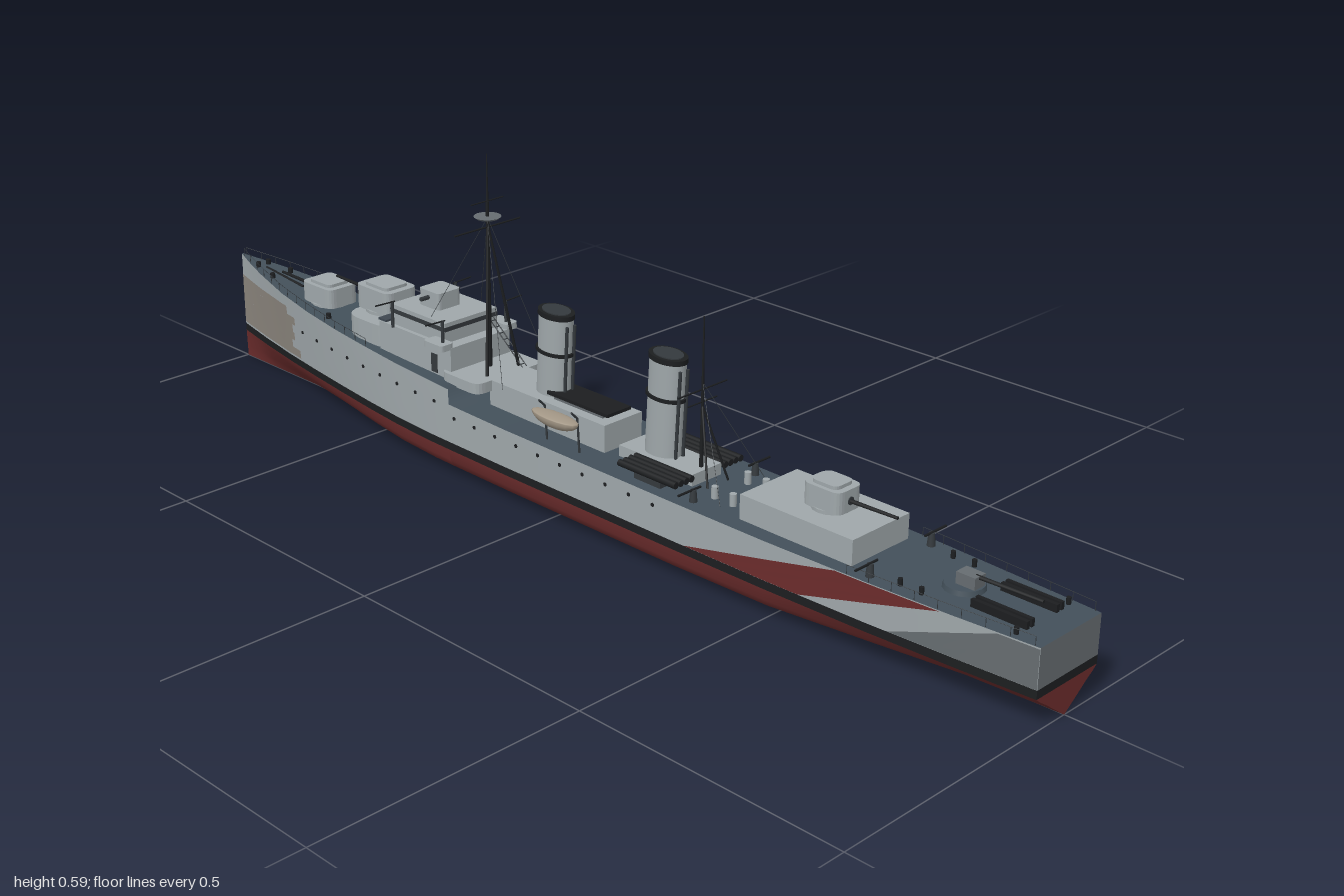
import * as THREE from 'three';

const mat = (name, color) => Object.assign(new THREE.MeshStandardMaterial({ color }), { name });
const M = {
  light: mat('light grey', 0x9fa7aa), mid: mat('mid grey', 0x666c70), deck: mat('deck slate', 0x43505a),
  blue: mat('dark blue grey', 0x3e4750), red: mat('hull red', 0x6b2c2c), black: mat('black', 0x1c1e20),
  taupe: mat('taupe', 0x8b857d), tan: mat('boat tan', 0xa39786), dark: mat('dark grey', 0x34393d),
};

// Hull stations: z, half beam, deck height
const ST = [[-1, .002, .22], [-.95, .017, .214], [-.9, .031, .209], [-.8, .053, .199], [-.7, .068, .191], [-.6, .079, .185],
  [-.5, .088, .181], [-.4, .095, .177], [-.3, .099, .174], [-.251, .1, .172], [-.25, .1, .143], [-.1, .102, .141], [.3, .102, .139],
  [.5, .1, .138], [.7, .094, .138], [.85, .086, .138], [1, .076, .139]];
const lerp = THREE.MathUtils.lerp;
function station(z, k) {
  let i = 0;
  while (i < ST.length - 2 && z > ST[i + 1][0]) i++;
  const a = ST[i], b = ST[i + 1];
  return lerp(a[k], b[k], THREE.MathUtils.clamp((z - a[0]) / (b[0] - a[0]), 0, 1));
}
const deckY = z => station(z, 2);
const vee = z => z < 0 ? THREE.MathUtils.smoothstep(-z, .3, 1) : THREE.MathUtils.smoothstep(z, .4, 1);
const WL = .055;
function beam(z, y) {
  const flare = z < 0 ? .3 * vee(z) : 0;
  return station(z, 1) * lerp(1 - flare, 1, Math.min(1, (y - WL) / (deckY(z) - WL)));
}
// Underwater section: blend of a full midship curve and a vee
const FULL = [[0, 0], [.7, .008], [.9, .02], [.98, .034], [1, WL]];
const VEE = [[0, 0], [.4, .022], [.65, .036], [.87, .047], [1, WL]];

// Grid surface: rows along u (z), columns along v
function surf(us, vs, f, flip) {
  const pos = [], idx = [], n = vs.length;
  us.forEach(u => vs.forEach(v => pos.push(...f(u, v))));
  for (let i = 0; i < us.length - 1; i++) for (let j = 0; j < n - 1; j++) {
    const a = i * n + j, b = a + 1, c = a + n, d = c + 1;
    idx.push(...(flip ? [a, c, b, b, c, d] : [a, b, c, b, d, c]));
  }
  const g = new THREE.BufferGeometry();
  g.setAttribute('position', new THREE.Float32BufferAttribute(pos, 3));
  g.setIndex(idx);
  g.computeVertexNormals();
  return g;
}
const range = n => Array.from({ length: n + 1 }, (_, i) => i / n);

// Block with rounded plan, standing on its origin
function slab(w, l, h, r) {
  const s = new THREE.Shape(), a = w / 2, b = l / 2;
  s.moveTo(-a + r, -b).lineTo(a - r, -b).quadraticCurveTo(a, -b, a, -b + r).lineTo(a, b - r).quadraticCurveTo(a, b, a - r, b);
  s.lineTo(-a + r, b).quadraticCurveTo(-a, b, -a, b - r).lineTo(-a, -b + r).quadraticCurveTo(-a, -b, -a + r, -b);
  return new THREE.ExtrudeGeometry(s, { depth: h, bevelEnabled: false, curveSegments: 5 }).rotateX(-Math.PI / 2);
}

export function createModel() {
  const ship = new THREE.Group();
  ship.name = 'warship';
  const add = (name, geo, m, x = 0, y = 0, z = 0) => {
    const mesh = new THREE.Mesh(geo, m);
    mesh.name = name;
    mesh.position.set(x, y, z);
    ship.add(mesh);
    return mesh;
  };
  const box = (name, m, w, h, l, x, y, z) => add(name, new THREE.BoxGeometry(w, h, l), m, x, y + h / 2, z);
  const block = (name, m, w, h, l, r, x, y, z) => add(name, slab(w, l, h, r), m, x, y, z);
  const cyl = (name, m, r1, r2, h, x, y, z) => add(name, new THREE.CylinderGeometry(r1, r2, h, 16), m, x, y + h / 2, z);
  const bar = (name, m, p, q, r, r2 = r) => {
    const a = new THREE.Vector3(...p), b = new THREE.Vector3(...q), d = b.clone().sub(a);
    const mesh = add(name, new THREE.CylinderGeometry(r2, r, d.length(), 6), m);
    mesh.position.copy(a).add(b).multiplyScalar(.5);
    mesh.quaternion.setFromUnitVectors(new THREE.Vector3(0, 1, 0), d.normalize());
  };

  // Hull shell, deck and transom
  const zs = ST.map(s => s[0]);
  const bottom = (z, j) => {
    const w = vee(z);
    return [beam(z, WL) * lerp(FULL[j][0], VEE[j][0], w), lerp(FULL[j][1], VEE[j][1], w)];
  };
  for (const s of [1, -1]) {
    add('hullBottom', surf(zs, [0, 1, 2, 3, 4], (z, j) => { const [x, y] = bottom(z, j); return [s * x, y, z]; }, s < 0), M.red);
    add('waterlineBand', surf(zs, [WL, .07], (z, y) => [s * beam(z, y), y, z], s < 0), M.black);
    add('hullSide', surf(zs, range(3), (z, t) => { const y = lerp(.07, deckY(z), t); return [s * beam(z, y), y, z]; }, s < 0), M.light);
    // Painted camouflage: [aft bottom, aft top, fore bottom, fore top] z limits between two heights
    const patch = (name, m, y0, y1, a0, a1, b0, b1) => add(name, surf(range(10), range(4), (u, v) => {
      const z = lerp(lerp(b0, b1, v), lerp(a0, a1, v), u), y = Math.min(lerp(y0, y1, v), deckY(z) - .001);
      return [s * (beam(z, y) + .0012), y, z];
    }, s < 0), m);
    patch('sternPaint', M.mid, .071, .137, 1, 1, .74, .93);
    patch('camouflagePanel', s > 0 ? M.blue : M.red, .071, .137, .57, .83, .33, .64);
    for (let i = 0; i < 6; i++) {
      const e = -.75 - (i % 2) * .02 - (i % 3) * .008;
      patch('bowPaint', M.taupe, .075 + i * .017, .092 + i * .017, e, e, -.998, -.998);
    }
    // Portholes
    for (let i = 0; i < 19; i++) {
      const z = .26 - i * .055, y = z < -.26 ? .138 : .12;
      add('porthole', new THREE.CylinderGeometry(.0035, .0035, .003, 8).rotateZ(Math.PI / 2), M.black, s * beam(z, y), y, z);
    }
    // Guard rails on forecastle and quarterdeck
    for (const [za, zb, n] of [[-.99, -.5, 14], [.66, .99, 8]]) {
      const at = (t, h) => { const z = lerp(za, zb, t); return [s * (station(z, 1) - .002), deckY(z) + h, z]; };
      for (let i = 0; i <= n; i++) {
        bar('railPost', M.dark, at(i / n, 0), at(i / n, .015), .0006);
        if (i < n) bar('railWire', M.dark, at(i / n, .015), at((i + 1) / n, .015), .0005);
      }
    }
  }
  add('deck', surf(zs, [1, -1], (z, t) => [t * station(z, 1), deckY(z), z]), M.deck);
  const face = (name, m, pts) => add(name, new THREE.ShapeGeometry(new THREE.Shape(pts.map(p => new THREE.Vector2(...p)))), m, 0, 0, 1);
  const under = [0, 1, 2, 3, 4].map(j => bottom(1, j));
  face('transomBottom', M.red, [...under, ...under.slice(1).reverse().map(([x, y]) => [-x, y])]);
  face('transomBand', M.black, [[-.076, WL], [.076, WL], [.076, .07], [-.076, .07]]);
  face('transom', M.mid, [[-.076, .07], [.076, .07], [.076, .139], [-.076, .139]]);

  // Gunhouse with one barrel; dir is -1 to the bow, +1 to the stern
  const turret = (y, z, w, h, l, dir, reach) => {
    cyl('gunRing', M.light, w * .55, w * .55, .006, 0, y, z);
    block('gunhouse', M.light, w, h, l, .016, 0, y + .004, z);
    block('gunhouseRoof', M.light, w * .75, .006, l * .7, .012, 0, y + h + .004, z);
    cyl('gunPort', M.dark, .007, .007, .003, 0, y + h * .55, z + dir * l / 2).rotation.x = Math.PI / 2;
    bar('gunBarrel', M.black, [0, y + h * .58, z + dir * l / 2], [0, y + h * .64, z + dir * reach], .004, .003);
  };
  turret(.19, -.715, .07, .038, .09, -1, .15);
  turret(.222, -.54, .074, .045, .095, -1, .15);
  turret(.182, .55, .06, .038, .075, 1, .13);
  box('gunSight', M.light, .03, .008, .02, 0, .22, .545);
  // Quarterdeck gun on a round mount
  cyl('sternGunMount', M.deck, .032, .034, .008, 0, .138, .81);
  box('sternGunCradle', M.mid, .026, .022, .035, 0, .144, .82);
  bar('sternGunBarrel', M.black, [0, .163, .83], [0, .166, .95], .004, .003);

  // Forward superstructure
  block('gunPlatform', M.light, .14, .042, .13, .045, 0, .18, -.52);
  block('shelterDeck', M.light, .16, .02, .1, .02, 0, .17, -.245);
  box('bridgeBase', M.light, .142, .063, .2, 0, .172, -.375);
  box('bridge', M.light, .126, .038, .15, 0, .235, -.375);
  box('bridgeWindows', M.dark, .128, .008, .152, 0, .257, -.375);
  box('bridgeVisor', M.blue, .14, .004, .022, 0, .236, -.468);
  block('director', M.light, .054, .032, .055, .008, 0, .273, -.385);
  bar('rangefinder', M.dark, [-.046, .293, -.385], [.046, .293, -.385], .004);
  for (const s of [1, -1]) {
    block('bridgeWing', M.light, .03, .012, .05, .008, s * .078, .232, -.3);
    for (const z of [-.29, -.43]) {
      bar('lightGunPost', M.dark, [s * .076, .235, z], [s * .076, .285, z], .003);
      bar('lightGun', M.black, [s * .07, .284, z], [s * .115, .286, z], .0014);
    }
    box('bridgeDoor', M.dark, .003, .035, .016, s * .071, .178, -.32);
  }

  // Midships house, skylight and funnels
  box('midshipsHouse', M.light, .09, .05, .29, 0, .14, -.055);
  box('searchlightPlatform', M.black, .056, .006, .15, 0, .196, .005);
  box('platformBase', M.mid, .05, .012, .12, 0, .185, .005);
  box('aftFunnelHouse', M.light, .07, .022, .17, 0, .138, .2);
  const funnel = (y0, z, top) => {
    const g = new THREE.Group(), h = top - y0;
    g.name = 'funnel';
    g.position.set(0, y0, z);
    g.rotation.x = .05;
    const part = (name, m, r, y, hh) => {
      const p = new THREE.Mesh(new THREE.CylinderGeometry(r, r, hh, 24).scale(1, 1, 1.4), m);
      p.name = name;
      p.position.y = y;
      g.add(p);
    };
    part('funnelCasing', M.light, .0255, h / 2, h - .01);
    part('funnelCap', M.black, .027, h - .006, .009);
    part('funnelMouth', M.dark, .021, h - .001, .003);
    part('funnelBand', M.black, .0285, h - .075, .006);
    for (const s of [1, -1]) {
      const p = new THREE.Mesh(new THREE.CylinderGeometry(.003, .003, h - .02, 8), M.dark);
      p.name = 'steamPipe';
      p.position.set(s * .009, h / 2 - .01, .037);
      g.add(p);
    }
    ship.add(g);
  };
  funnel(.17, -.083, .345);
  funnel(.14, .184, .34);

  // Torpedo mounts beside the aft funnel, and deck guns
  for (const s of [1, -1]) {
    box('torpedoBase', M.dark, .04, .012, .06, s * .06, .138, .225);
    for (let i = 0; i < 4; i++) {
      add('torpedoTube', new THREE.CylinderGeometry(.006, .006, .13, 10).rotateX(Math.PI / 2), M.black, s * (.041 + i * .0125), .156, .225);
    }
    for (const z of [.325, .69]) {
      cyl('deckGunStand', M.dark, .005, .007, .022, s * .075, .138, z);
      bar('deckGun', M.black, [s * .058, .16, z], [s * .111, .16, z], .002);
    }
    // Depth charge racks
    for (const x of [.031, .043]) box('chargeRack', M.black, .007, .013, .1, s * x, .139, .905);
    for (const z of [.74, .78, .95]) cyl('bollard', M.black, .004, .004, .012, s * .065, .138, z);
    for (const [z, x] of [[-.87, .022], [-.93, .012], [-.65, .055]]) cyl('bollard', M.black, .005, .005, .01, s * x, deckY(z), z);
    for (const z of [.34, .38]) cyl('ventilator', M.light, .006, .006, .022, s * .04, .138, z);
  }
  bar('anchorChain', M.black, [0, .2, -.8], [0, .21, -.92], .003);

  // Aft deckhouse and ladder
  box('aftDeckhouse', M.light, .138, .044, .23, 0, .138, .535);
  for (const x of [.036, .046]) bar('ladderRail', M.dark, [x, .18, -.19], [x, .26, -.29], .001);
  for (let i = 0; i < 9; i++) bar('ladderRung', M.dark, [.036, .185 + i * .009, -.197 - i * .011], [.046, .185 + i * .009, -.197 - i * .011], .0009);

  // Ship's boat slung from davits on one side
  const hullBoat = new THREE.SphereGeometry(1, 16, 8, 0, Math.PI * 2, Math.PI / 2, Math.PI / 2).scale(.018, .02, .055);
  add('boatHull', hullBoat, M.tan, -.094, .2, .02);
  add('boatCover', new THREE.SphereGeometry(1, 16, 6, 0, Math.PI * 2, 0, Math.PI / 2).scale(.018, .004, .055), M.tan, -.094, .2, .02);
  for (const z of [-.02, .06]) {
    bar('davit', M.dark, [-.075, .14, z], [-.08, .205, z], .002);
    bar('davitArm', M.dark, [-.08, .205, z], [-.094, .219, z], .002);
  }

  // Foremast: tripod, lookout and yards
  bar('foremast', M.black, [0, .17, -.25], [0, .5, -.25], .005, .003);
  bar('foreTopmast', M.black, [0, .5, -.25], [0, .587, -.25], .0025, .001);
  for (const s of [1, -1]) bar('tripodLeg', M.black, [s * .038, .19, -.215], [0, .46, -.25], .003, .002);
  cyl('lookout', M.mid, .025, .02, .004, 0, .469, -.25);
  bar('foreYard', M.black, [-.077, .453, -.25], [.077, .453, -.25], .0016);
  bar('upperYard', M.black, [-.038, .501, -.25], [.038, .501, -.25], .0012);
  // Mainmast
  bar('mainmast', M.black, [0, .14, .272], [0, .425, .272], .004, .0012);
  for (const s of [1, -1]) bar('mainmastLeg', M.black, [s * .025, .14, .31], [0, .27, .272], .002);
  bar('mainYard', M.black, [-.058, .298, .272], [.058, .298, .272], .0014);
  bar('lowerYard', M.black, [-.035, .276, .272], [.035, .276, .272], .0012);
  // Rigging
  for (const s of [1, -1]) {
    bar('foreStay', M.dark, [0, .47, -.25], [s * .06, .275, -.34], .0005);
    bar('backStay', M.dark, [0, .47, -.25], [s * .06, .19, -.15], .0005);
    bar('mainStay', M.dark, [0, .31, .272], [s * .06, .14, .37], .0005);
  }
  return ship;
}
